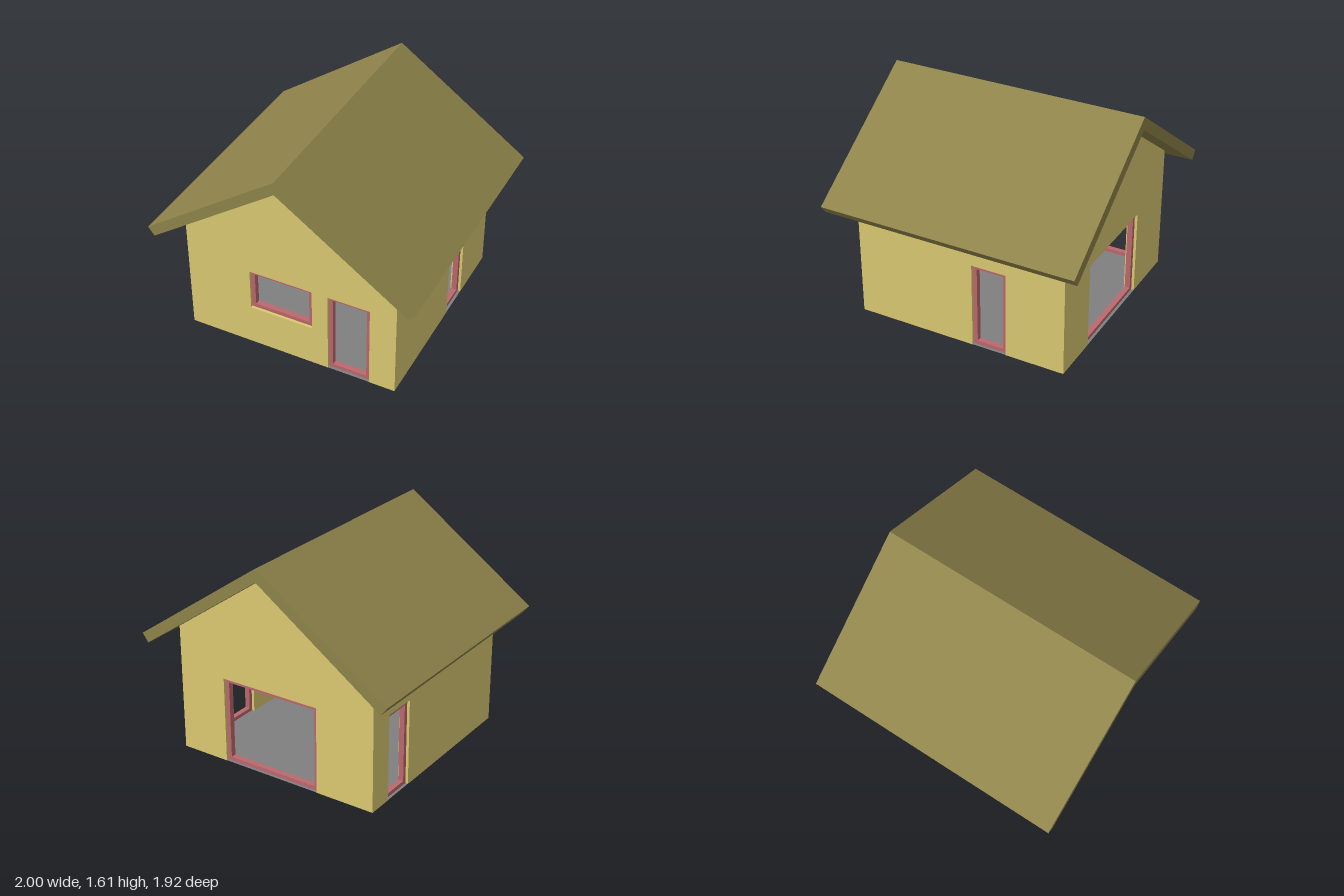
import * as THREE from 'three';

const T = 0.08; // wall thickness
const HALF = 0.8; // half the footprint
const FRAME_W = 0.03, FRAME_D = 0.04;

const material = (color) => new THREE.MeshStandardMaterial({ color });
const wallMat = material(0xdcca72);
const roofMat = material(0x8f844b);
const frameMat = material(0xbc686d);
const floorMat = new THREE.MeshStandardMaterial({ color: 0x808080, side: THREE.DoubleSide });

const outline = (pts) => new THREE.Shape(pts.map(([x, y]) => new THREE.Vector2(x, y)));
const rect = ([a, b, y0, y1], inset = 0) => [
  [a + inset, y0 + inset], [b - inset, y0 + inset], [b - inset, y1 - inset], [a + inset, y1 - inset],
];

function extrude(name, shape, depth, z, mat) {
  const geo = new THREE.ExtrudeGeometry(shape, { depth, bevelEnabled: false });
  geo.translate(0, 0, z);
  const mesh = new THREE.Mesh(geo, mat);
  mesh.name = name;
  return mesh;
}

// A wall panel with a doorway cut up from the ground, optional windows, and a frame in each opening
function wall(name, half, top, door, windows = []) {
  const group = new THREE.Group();
  group.name = name;
  const [a, b, , h] = door;
  const shape = outline([[-half, 0], [a, 0], [a, h], [b, h], [b, 0], [half, 0], ...top]);
  windows.forEach((w) => shape.holes.push(outline(rect(w))));
  group.add(extrude(name + 'Panel', shape, T, 0, wallMat));
  [door, ...windows].forEach((o, i) => {
    const frame = outline(rect(o));
    frame.holes.push(outline(rect(o, FRAME_W)));
    group.add(extrude(i ? 'windowFrame' : 'doorFrame', frame, FRAME_D, (T - FRAME_D) / 2, frameMat));
  });
  return group;
}

export function createModel() {
  const house = new THREE.Group();
  house.name = 'house';

  // Gable walls
  const gableTop = [[HALF, 0.95], [0, 1.51], [-HALF, 0.95]];
  const front = wall('frontWall', HALF, gableTop, [0.29, 0.605, 0, 0.645], [[-0.31, 0.17, 0.32, 0.645]]);
  front.position.z = HALF - T;
  const back = wall('backWall', HALF, gableTop, [-0.35, 0.425, 0, 0.645]);
  back.position.z = -HALF;

  // Side walls, fitted between the gables, tops tucked into the roof
  const inner = HALF - T;
  const sideTop = [[inner, 1], [-inner, 1]];
  const left = wall('leftWall', inner, sideTop, [-0.36, -0.1, 0, 0.645]);
  const right = wall('rightWall', inner, sideTop, [-0.61, -0.355, 0, 0.645]);
  left.rotation.y = right.rotation.y = -Math.PI / 2;
  left.position.x = HALF;
  right.position.x = -inner;

  // Pitched roof with overhanging eaves
  const roof = extrude('roof', outline([
    [0, 1.605], [-1, 0.905], [-0.953, 0.843], [0, 1.51], [0.953, 0.843], [1, 0.905],
  ]), 1.92, -0.96, roofMat);

  // Sloped ceiling lining under the roof
  const ceiling = extrude('ceiling', outline([
    [0, 1.51], [-inner, 1.006], [-inner, 0.996], [0, 1.5], [inner, 0.996], [inner, 1.006],
  ]), 2 * inner, -inner, wallMat);

  // Floor
  const floor = new THREE.Mesh(new THREE.PlaneGeometry(2 * HALF, 2 * HALF), floorMat);
  floor.name = 'floor';
  floor.rotation.x = -Math.PI / 2;
  floor.position.y = 0.002;

  house.add(front, back, left, right, roof, ceiling, floor);
  return house;
}
